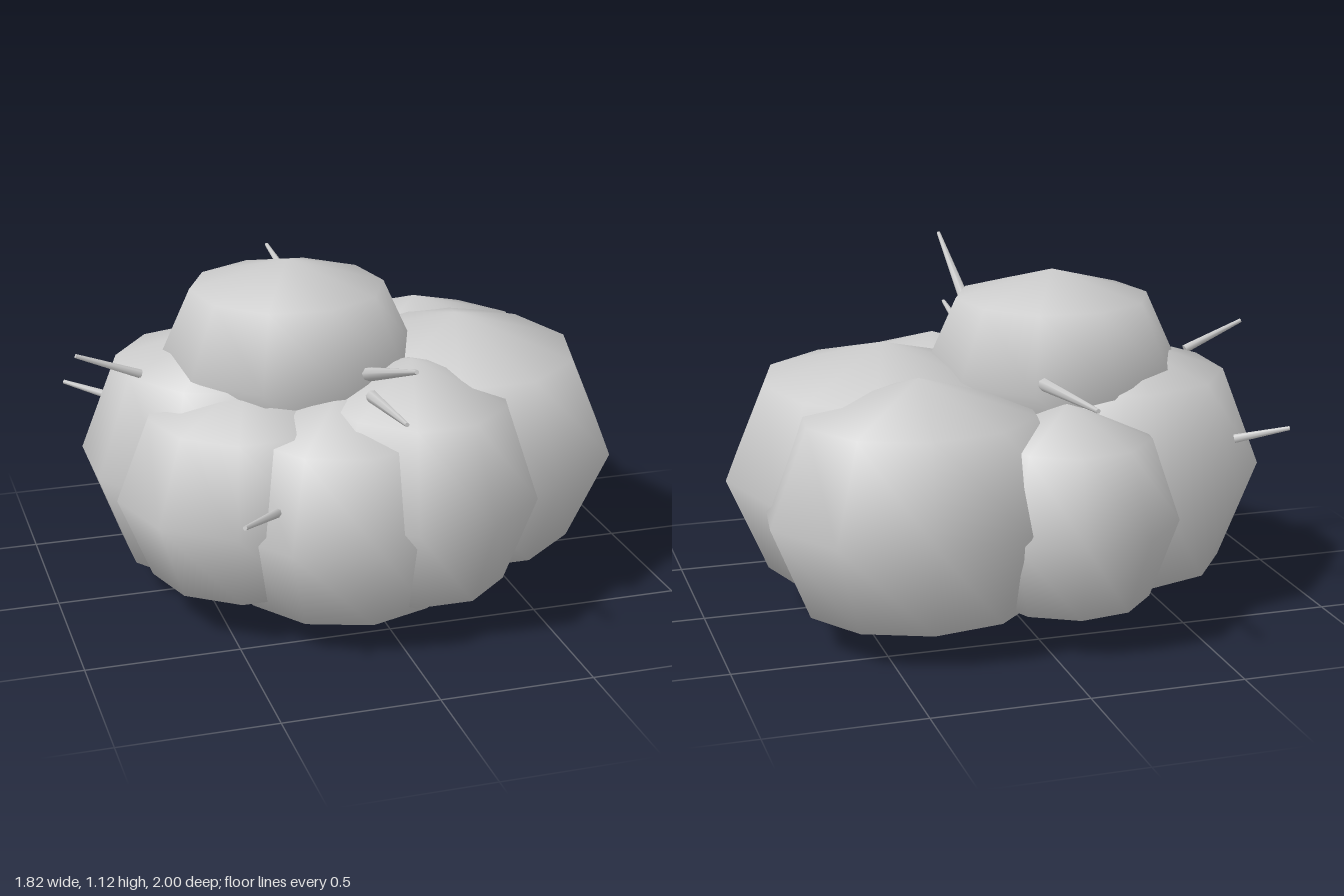
import * as THREE from 'three';

const material = new THREE.MeshStandardMaterial({ color: 0xcccccc });

// Faceted-outline, smooth-shaded leaf clump: centre, radii, turn about y
function clump(name, [x, y, z], [rx, ry, rz], turn) {
  const geo = new THREE.SphereGeometry(1, 10, 4, turn, Math.PI * 2);
  const p = geo.attributes.position;
  // widen the two middle rings so the clump has full shoulders
  for (let i = 0; i < p.count; i++) {
    const h = Math.abs(p.getY(i));
    if (h > 0.5 && h < 0.9) {
      p.setXYZ(i, p.getX(i) * 1.06, p.getY(i) * 1.03, p.getZ(i) * 1.06);
    }
  }
  geo.scale(rx, ry, rz);
  const mesh = new THREE.Mesh(geo, material);
  mesh.name = name;
  mesh.position.set(x, y, z);
  return mesh;
}

// Tapered stick from a to b
function stick(name, a, b, ra, rb) {
  const from = new THREE.Vector3(...a), to = new THREE.Vector3(...b);
  const dir = to.clone().sub(from);
  const mesh = new THREE.Mesh(new THREE.CylinderGeometry(rb, ra, dir.length(), 7), material);
  mesh.name = name;
  mesh.position.copy(from).add(to).multiplyScalar(0.5);
  mesh.quaternion.setFromUnitVectors(new THREE.Vector3(0, 1, 0), dir.normalize());
  return mesh;
}

export function createModel() {
  const bush = new THREE.Group();
  bush.name = 'bush';

  // Leaf clumps: one on top, a ring of them around the base
  const half = Math.PI / 10;
  const clumps = [
    ['topClump', [-0.19, 0.8, -0.04], [0.43, 0.325, 0.43], 0.5],
    ['leftClump', [0.38, 0.475, 0.01], [0.53, 0.43, 0.6], 0],
    ['backLeftClump', [0.35, 0.44, -0.34], [0.51, 0.425, 0.45], 0.2],
    ['backClump', [-0.11, 0.41, -0.44], [0.36, 0.36, 0.385], 0.15],
    ['rightClump', [-0.38, 0.46, -0.1], [0.5, 0.45, 0.51], half],
    ['frontRightClump', [-0.39, 0.43, 0.18], [0.43, 0.37, 0.44], 0],
    ['frontClump', [-0.11, 0.4, 0.31], [0.46, 0.385, 0.48], half],
    ['frontLeftClump', [0.13, 0.45, 0.3], [0.41, 0.41, 0.5], 0],
  ];
  for (const c of clumps) bush.add(clump(...c));

  // Twigs poking out through the leaves
  const twigs = [
    [[-0.02, 0.85, -0.48], [-0.01, 0.9, -1], 0.021],
    [[-0.05, 0.865, 0.42], [-0.09, 1.07, 1], 0.023],
    [[-0.04, 0.79, 0.42], [-0.06, 0.845, 0.83], 0.021],
    [[-0.4, 0.51, 0.6], [-0.56, 0.58, 0.84], 0.015],
    [[-0.7, 0.8, 0.03], [-0.91, 0.885, 0.04], 0.015],
    [[-0.72, 0.585, -0.37], [-0.88, 0.63, -0.45], 0.015],
  ];
  twigs.forEach(([a, b, r], i) => bush.add(stick('twig' + (i + 1), a, b, r, 0.007)));

  // Short stems under the middle
  const stems = [[0.04, 0.02], [-0.09, -0.09], [-0.05, 0.06]];
  stems.forEach(([x, z], i) =>
    bush.add(stick('stem' + (i + 1), [x, 0.08, z], [x * 2, 0.5, z * 2], 0.05, 0.035)));

  return bush;
}
